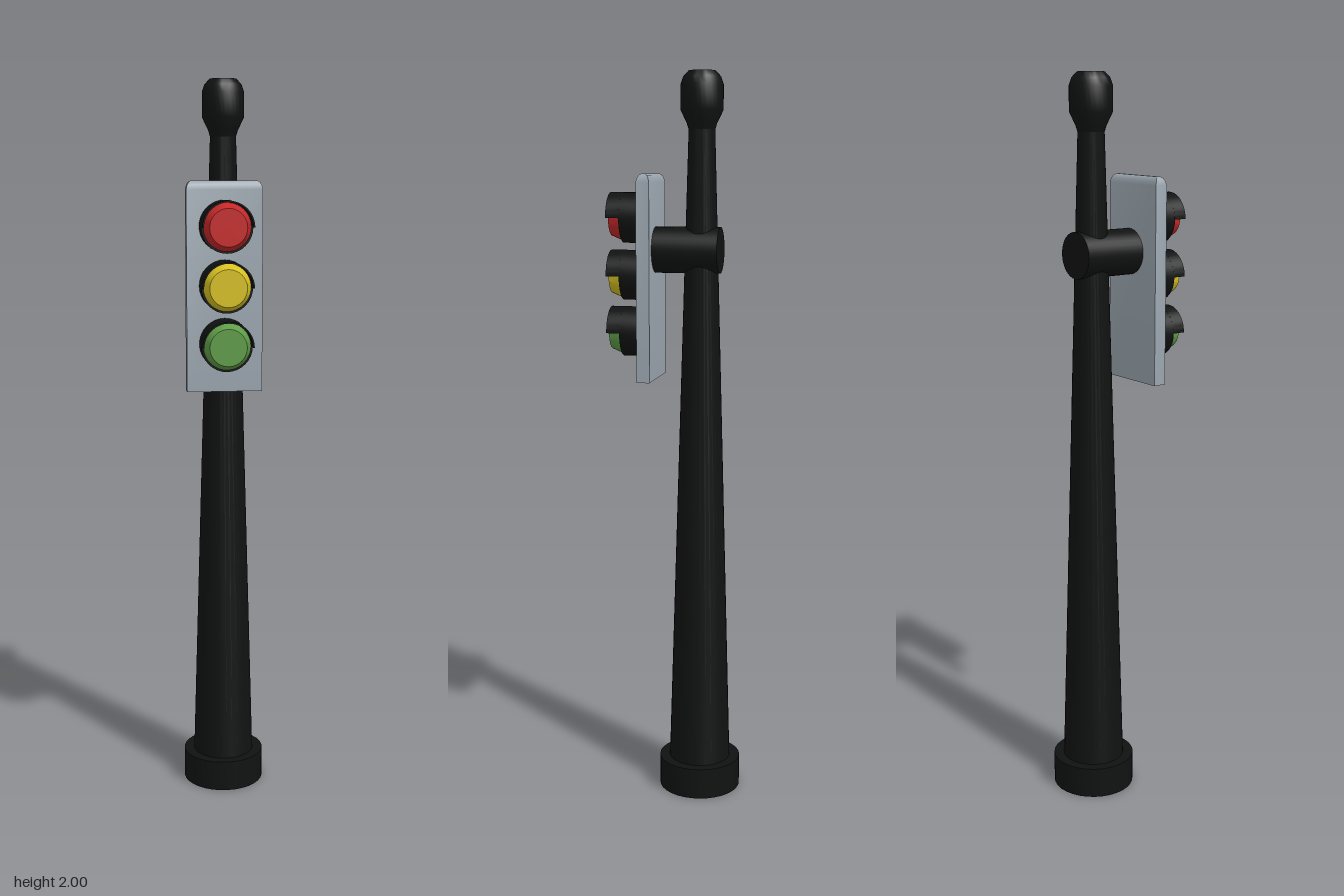
import * as THREE from 'three';
import { toCreasedNormals } from 'three/addons/utils/BufferGeometryUtils.js';

const BLACK = 0x101211, GREY = 0x9aa5ae;

function addMesh(parent, name, geometry, color) {
  const mesh = new THREE.Mesh(toCreasedNormals(geometry, 0.6), new THREE.MeshStandardMaterial({ color }));
  mesh.name = name;
  parent.add(mesh);
  return mesh;
}

// Solid of revolution from [radius, height] pairs
function turned(pairs) {
  return new THREE.LatheGeometry(pairs.map(([r, y]) => new THREE.Vector2(r, y)), 32);
}

// Cylinder lying along z, from z0 (radius r0) to z1 (radius r1)
function alongZ(r0, r1, z0, z1) {
  return new THREE.CylinderGeometry(r1, r0, z1 - z0, 32).rotateX(Math.PI / 2).translate(0, 0, (z0 + z1) / 2);
}

// Upright plate whose top edge is rounded inwards on all four sides
function plateGeometry(w, d, y0, y1) {
  const rows = [[y0, 0], [y1 - 0.022, 0], [y1 - 0.011, 0.003], [y1 - 0.004, 0.007], [y1, 0.013]];
  const geo = new THREE.BoxGeometry(w, 1, d, 1, rows.length - 1, 1);
  const p = geo.attributes.position;
  for (let i = 0; i < p.count; i++) {
    const [y, inset] = rows[Math.round((p.getY(i) + 0.5) * (rows.length - 1))];
    p.setXYZ(i, Math.sign(p.getX(i)) * (w / 2 - inset), y, Math.sign(p.getZ(i)) * (d / 2 - inset));
  }
  return geo;
}

// Half-round hood above a lens
function visorGeometry(radius, thickness, depth) {
  const shape = new THREE.Shape();
  shape.absarc(0, 0, radius, 0, Math.PI, false);
  shape.absarc(0, 0, radius - thickness, Math.PI, 0, true);
  return new THREE.ExtrudeGeometry(shape, { depth, bevelEnabled: false, curveSegments: 16 });
}

export function createModel() {
  const model = new THREE.Group();
  model.name = 'trafficLight';

  // Post: base, tapered pole and finial on one axis
  const post = new THREE.Group();
  post.name = 'post';
  post.position.z = -0.07;
  model.add(post);
  addMesh(post, 'base', turned([[0, 0], [0.114, 0], [0.114, 0.087], [0, 0.087]]), BLACK);
  addMesh(post, 'pole', turned([[0.086, 0.08], [0.035, 1.86]]), BLACK);
  addMesh(post, 'finial', turned([
    [0.034, 1.845], [0.04, 1.865], [0.057, 1.9], [0.057, 1.965], [0.05, 1.985], [0.036, 2], [0, 2],
  ]), BLACK);

  // Round arm through the pole carrying the signal plate
  addMesh(model, 'bracket', alongZ(0.062, 0.062, -0.122, 0.06), BLACK).position.y = 1.533;

  // Signal head, set slightly to one side
  const head = new THREE.Group();
  head.name = 'signalHead';
  head.position.x = -0.014;
  model.add(head);
  addMesh(head, 'backPlate', plateGeometry(0.202, 0.036, 1.18, 1.735), GREY).position.z = 0.073;

  const lamps = [['red', 0xc62828, 1.618], ['yellow', 0xd6c022, 1.463], ['green', 0x5f9c48, 1.309]];
  for (const [name, color, y] of lamps) {
    const lamp = new THREE.Group();
    lamp.name = name + 'Lamp';
    lamp.position.y = y;
    head.add(lamp);
    addMesh(lamp, 'housing', alongZ(0.068, 0.068, 0.088, 0.147), BLACK);
    addMesh(lamp, 'lens', alongZ(0.063, 0.049, 0.146, 0.18), color);
    addMesh(lamp, 'visor', visorGeometry(0.068, 0.004, 0.037), BLACK).position.z = 0.146;
  }
  return model;
}
